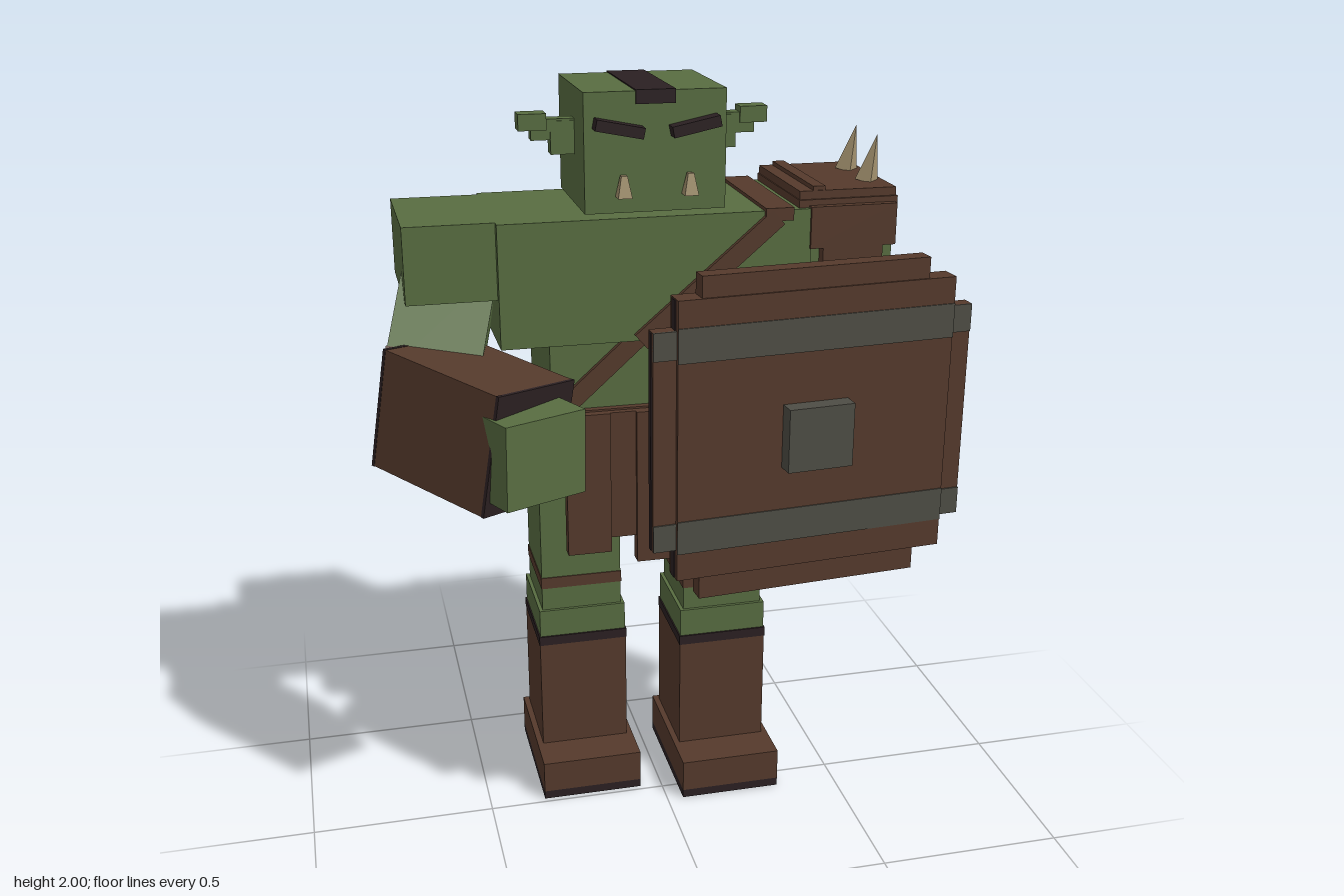
import * as THREE from 'three';

const paint = (name, color) => {
  const m = new THREE.MeshStandardMaterial({ color });
  m.name = name;
  return m;
};
const skin = paint('green skin', 0x586d41);
const leather = paint('brown leather', 0x553a2c);
const dark = paint('dark trim', 0x2b2022);
const metal = paint('dull metal', 0x4e4d45);
const bone = paint('bone', 0xa08f6c);

const V = (x, y, z) => new THREE.Vector3(x, y, z);

// Box given by its limits on each axis
function box(parent, name, mat, x0, x1, y0, y1, z0, z1) {
  const m = new THREE.Mesh(new THREE.BoxGeometry(x1 - x0, y1 - y0, z1 - z0), mat);
  m.position.set((x0 + x1) / 2, (y0 + y1) / 2, (z0 + z1) / 2);
  m.name = name;
  parent.add(m);
  return m;
}

// Box centred on its parent
const block = (parent, name, mat, w, h, d, y = 0, z = 0) =>
  box(parent, name, mat, -w / 2, w / 2, y - h / 2, y + h / 2, z - d / 2, z + d / 2);

// Four-sided spike, blunt when tip is above zero
function spike(parent, name, x, y, z, r, h, tip = 0) {
  const m = new THREE.Mesh(new THREE.CylinderGeometry(tip, r, h, 4), bone);
  m.material.flatShading = true;
  m.position.set(x, y, z);
  m.name = name;
  parent.add(m);
  return m;
}

// Group whose z axis follows "forward" and whose y axis is close to "up"
function frame(parent, name, centre, forward, up) {
  const g = new THREE.Group();
  const z = forward.normalize();
  const x = V().crossVectors(up, z).normalize();
  const y = V().crossVectors(z, x);
  g.quaternion.setFromRotationMatrix(new THREE.Matrix4().makeBasis(x, y, z));
  g.position.copy(centre);
  g.name = name;
  parent.add(g);
  return g;
}

// Flat strap between two points of a vertical plane
function strap(parent, name, ax, ay, bx, by, z) {
  const m = block(parent, name, leather, Math.hypot(bx - ax, by - ay), 0.05, 0.016);
  m.position.set((ax + bx) / 2, (ay + by) / 2, z);
  m.rotation.z = Math.atan2(by - ay, bx - ax);
}

function addHead(g) {
  box(g, 'head', skin, -0.192, 0.174, 1.695, 1.997, -0.39, -0.04);
  // Hair stripe over the skull
  box(g, 'hairTop', dark, -0.06, 0.042, 1.992, 2, -0.394, -0.036);
  box(g, 'hairFront', dark, -0.06, 0.042, 1.965, 2, -0.042, -0.036);
  box(g, 'hairBack', dark, -0.06, 0.042, 1.835, 2, -0.395, -0.388);
  for (const s of [-1, 1]) {
    const side = new THREE.Group();
    side.name = s > 0 ? 'leftFace' : 'rightFace';
    side.position.x = -0.009;
    g.add(side);
    const ear = (n, a, b, y0, y1, t) =>
      box(side, n, skin, Math.min(s * a, s * b), Math.max(s * a, s * b), y0, y1, -0.19 - t, -0.19 + t);
    ear('earBase', 0.18, 0.245, 1.825, 1.91, 0.022);
    ear('earMiddle', 0.18, 0.295, 1.862, 1.915, 0.019);
    ear('earTip', 0.255, 0.328, 1.888, 1.93, 0.026);
    const brow = block(side, 'brow', dark, 0.125, 0.028, 0.045);
    brow.position.set(s * 0.098, 1.91, -0.022);
    brow.rotation.z = s * 0.2;
    spike(side, 'tusk', s * 0.086, 1.765, -0.022, 0.026, 0.055, 0.011).rotation.y = Math.PI / 4;
  }
}

function addTorso(g) {
  box(g, 'chest', skin, -0.42, 0.404, 1.36, 1.685, -0.415, -0.02);
  box(g, 'belly', skin, -0.29, 0.274, 1.15, 1.37, -0.38, -0.05);
  // Belt, hips and hanging cloth
  box(g, 'belt', leather, -0.34, 0.325, 1.115, 1.175, -0.405, -0.03);
  box(g, 'hips', leather, -0.32, 0.305, 1.0, 1.12, -0.385, -0.045);
  box(g, 'frontCloth', leather, -0.26, 0.225, 0.81, 1.17, -0.04, -0.012);
  box(g, 'frontClothRight', leather, -0.26, -0.14, 0.77, 1.17, -0.038, -0.006);
  box(g, 'frontClothMiddle', leather, -0.07, 0.052, 0.735, 1.17, -0.038, 0);
  box(g, 'frontClothLeft', leather, 0.08, 0.21, 0.77, 1.17, -0.038, -0.006);
  box(g, 'backCloth', leather, -0.2, 0.19, 0.81, 1.01, -0.388, -0.345);
  // Strap around the chest, front and back
  for (const [n, zu, zl] of [['front', -0.014, -0.044], ['back', -0.422, -0.386]]) {
    strap(g, n + 'StrapUpper', 0.31, 1.67, -0.055, 1.36, zu);
    strap(g, n + 'StrapLower', -0.03, 1.385, -0.26, 1.18, zl);
  }
  box(g, 'strapTop', leather, 0.275, 0.35, 1.66, 1.694, -0.43, -0.006);
}

function addLeg(g, s) {
  const leg = new THREE.Group();
  leg.name = s > 0 ? 'leftLeg' : 'rightLeg';
  // The left leg stands a little ahead of the right one
  leg.position.set(-0.008 + s * 0.195, 0, s > 0 ? 0 : -0.085);
  g.add(leg);
  const part = (n, m, w, y0, y1, z0, z1) => box(leg, n, m, -w / 2, w / 2, y0, y1, z0, z1);
  part('thigh', skin, 0.226, 0.5, 0.93, -0.29, -0.055);
  part('shorts', leather, 0.23, 0.925, 1.01, -0.293, -0.052);
  part('thighBand', leather, 0.23, 0.612, 0.645, -0.293, -0.052);
  part('knee', skin, 0.246, 0.46, 0.545, -0.301, -0.046);
  part('bootTrim', dark, 0.253, 0.438, 0.465, -0.305, -0.041);
  part('boot', leather, 0.25, 0.1, 0.44, -0.303, -0.043);
  part('foot', leather, 0.283, 0.024, 0.115, -0.32, 0.07);
  part('sole', dark, 0.283, 0, 0.024, -0.32, 0.07);
}

function addArm(g, s) {
  const left = s > 0;
  const arm = new THREE.Group();
  arm.name = left ? 'leftArm' : 'rightArm';
  g.add(arm);
  const shoulder = block(arm, 'shoulder', skin, 0.25, 0.2, 0.35);
  shoulder.position.set(s * 0.52 - 0.008, 1.585, -0.22);
  // Upper arm slants down, forward and outward
  const upper = frame(arm, 'upperArm', V(s * 0.553 - 0.008, 1.37, -0.144),
    V(s * 0.015, 0.138, 0.208), V(s * -0.085, 0.29, -0.135));
  block(upper, 'upperArmFlesh', skin, 0.24, 0.335, 0.25);
  block(upper, 'upperArmBand', leather, 0.246, 0.03, 0.256, -0.1);
  // Bracer points forward and inward
  const fore = left
    ? frame(arm, 'forearm', V(0.522, 1.237, 0.088), V(-0.54, -0.03, 0.84), V(-0.08, 1, 0))
    : frame(arm, 'forearm', V(-0.515, 1.21, 0.09), V(0.62, -0.11, 0.77), V(0.14, 0.98, 0));
  const len = left ? 0.35 : 0.384;
  block(fore, 'bracer', leather, 0.275, 0.31, len);
  block(fore, 'wristTrim', dark, 0.277, 0.312, 0.009, 0, len / 2);
  block(fore, 'elbowTrim', dark, 0.277, 0.312, 0.009, 0, -len / 2);
  // Studded plate beneath the bracer
  block(fore, 'bracerPlate', metal, 0.12, 0.025, 0.2, -0.165);
  spike(fore, 'bracerSpike', 0, -0.19, -0.06, 0.02, 0.06).rotation.x = Math.PI;
  spike(fore, 'bracerStud', 0, -0.18, 0.05, 0.025, 0.03, 0.015).rotation.x = Math.PI;
  const hand = left
    ? frame(arm, 'hand', V(0.445, 1.2, 0.2), V(-0.27, 0, 0.96), V(0, 1, 0))
    : frame(arm, 'hand', V(-0.42, 1.19, 0.225), V(0.43, 0, 0.9), V(0.02, 1, 0));
  block(hand, 'fist', skin, 0.23, 0.215, 0.25);
}

function addShoulderPad(g) {
  const pad = new THREE.Group();
  pad.name = 'shoulderPad';
  g.add(pad);
  box(pad, 'padTop', leather, 0.375, 0.64, 1.68, 1.727, -0.405, -0.04);
  box(pad, 'padRim', leather, 0.372, 0.643, 1.685, 1.705, -0.41, -0.033);
  box(pad, 'padRidge', leather, 0.412, 0.445, 1.72, 1.738, -0.402, -0.043);
  box(pad, 'padFront', leather, 0.4, 0.635, 1.58, 1.69, -0.05, -0.012);
  box(pad, 'padFrontLower', leather, 0.435, 0.6, 1.52, 1.59, -0.05, -0.012);
  for (const z of [-0.305, -0.145]) spike(pad, 'padSpike', 0.608, 1.785, z, 0.033, 0.125).rotation.z = -0.2;
}

function addShield(g) {
  const sh = new THREE.Group();
  sh.name = 'shield';
  sh.position.set(0.29, 1.22, 0.353);
  sh.rotation.y = 0.082;
  g.add(sh);
  // Stepped planks make the rounded outline
  box(sh, 'shieldBody', leather, -0.355, 0.36, -0.35, 0.365, -0.029, 0.029);
  box(sh, 'shieldTall', leather, -0.295, 0.29, -0.41, 0.418, -0.022, 0.024);
  box(sh, 'shieldWide', leather, -0.413, 0.413, -0.27, 0.29, -0.017, 0.017);
  // Dark edging on the sides
  for (const s of [-1, 1]) {
    block(sh, 'bodyEdge', dark, 0.004, 0.71, 0.026, 0.0075).position.x = s > 0 ? 0.361 : -0.356;
    block(sh, 'wideEdge', dark, 0.004, 0.555, 0.016, 0.01).position.x = s * 0.414;
  }
  // Metal bands across the front
  for (const y of [-0.235, 0.255]) {
    box(sh, 'shieldBand', metal, -0.355, 0.36, y - 0.043, y + 0.043, 0.026, 0.032);
    for (const s of [-1, 1])
      block(sh, 'shieldBandEnd', metal, 0.058, 0.07, 0.006, y, 0.018).position.x = s * 0.384;
  }
  box(sh, 'shieldBoss', metal, -0.085, 0.085, -0.08, 0.083, 0.02, 0.073);
}

export function createModel() {
  const g = new THREE.Group();
  g.name = 'shieldWarrior';
  addHead(g);
  addTorso(g);
  for (const s of [-1, 1]) {
    addLeg(g, s);
    addArm(g, s);
  }
  addShoulderPad(g);
  addShield(g);
  return g;
}
